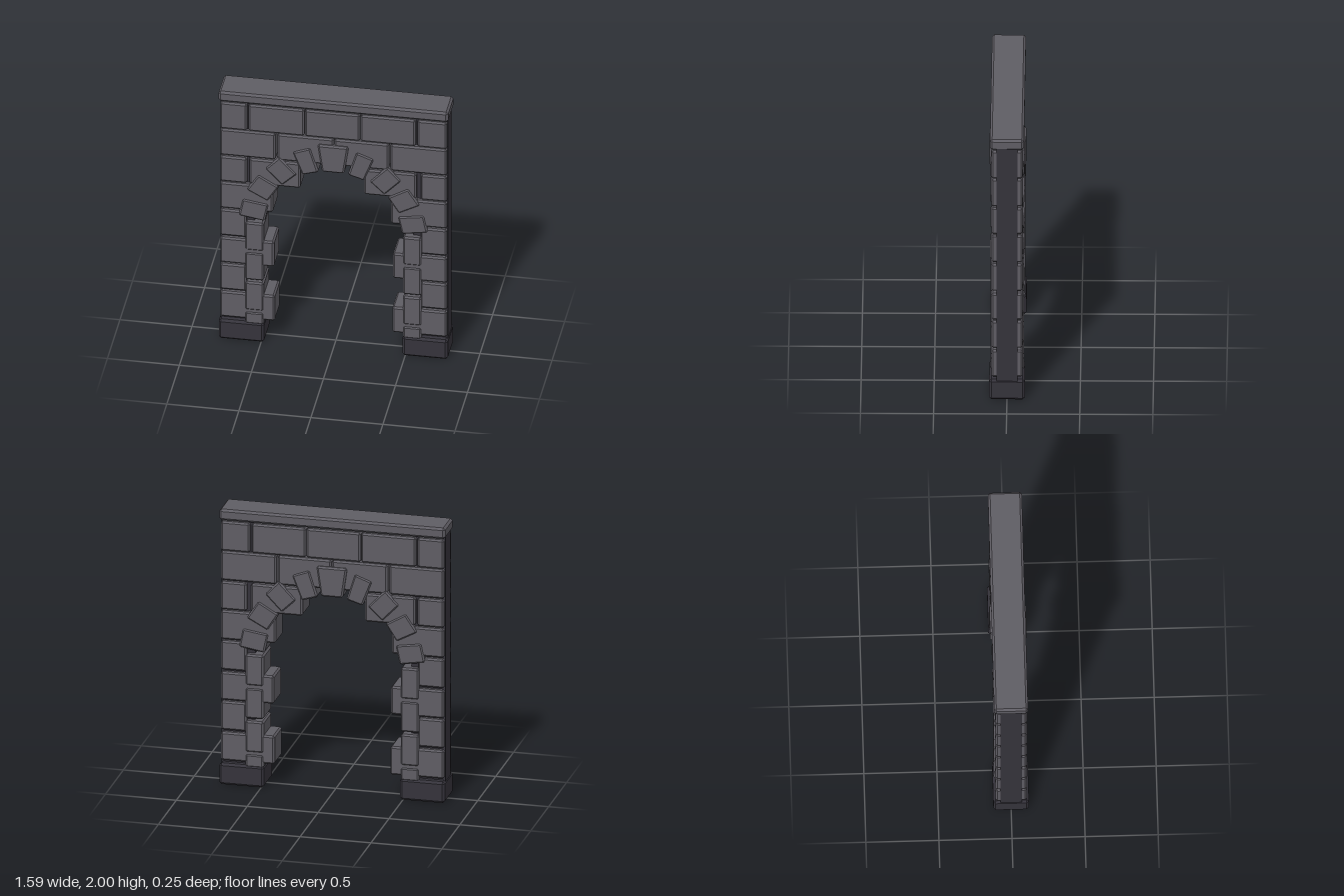
import * as THREE from 'three';
import { ConvexGeometry } from 'three/addons/geometries/ConvexGeometry.js';

const stone = new THREE.MeshStandardMaterial({ color: 0x5f5d64 });
stone.name = 'grey stone';
const dark = new THREE.MeshStandardMaterial({ color: 0x35333b });
dark.name = 'dark stone';

// Chamfered prism: four front corners, half depth d, chamfer c
function block(corners, d, c) {
  const pts = [];
  const p = corners.map(([x, y]) => new THREE.Vector2(x, y));
  p.forEach((q, i) => {
    const u = p[(i + 1) % 4].clone().sub(q).setLength(c);
    const v = p[(i + 3) % 4].clone().sub(q).setLength(c);
    for (const s of [-1, 1]) {
      pts.push(new THREE.Vector3(q.x + u.x + v.x, q.y + u.y + v.y, s * d));
      pts.push(new THREE.Vector3(q.x + u.x, q.y + u.y, s * (d - c)));
      pts.push(new THREE.Vector3(q.x + v.x, q.y + v.y, s * (d - c)));
    }
  });
  return new ConvexGeometry(pts);
}

const rect = (x0, x1, y0, y1) => [[x0, y0], [x1, y0], [x1, y1], [x0, y1]];

export function createModel() {
  const model = new THREE.Group();
  model.name = 'stoneArch';

  function add(name, corners, d, c = 0.012, material = stone) {
    const mesh = new THREE.Mesh(block(corners, d, c), material);
    mesh.name = name;
    model.add(mesh);
  }

  // Wall courses: bottom, top, then the [start, end] of each brick
  const E = 0.787;
  const courses = [
    [1.697, 1.91, [[-E, -0.6], [-0.59, -0.203], [-0.199, 0.184], [0.188, 0.57], [0.583, E]]],
    [1.483, 1.694, [[-E, -0.402], [-0.39, 0.003], [0.006, 0.385], [0.396, E]]],
    [1.27, 1.473, [[-E, -0.6], [-0.585, -0.23], [0.21, 0.575], [0.605, E]]],
    [1.053, 1.262, [[-E, -0.42], [0.4, E]]],
    [0.832, 1.042, [[-E, -0.605], [0.605, E]]],
    [0.612, 0.815, [[-E, -0.412], [0.412, E]]],
    [0.395, 0.602, [[-E, -0.605], [0.605, E]]],
    [0.173, 0.378, [[-E, -0.408], [0.408, E]]],
  ];
  for (const [y0, y1, bricks] of courses)
    for (const [x0, x1] of bricks) add('wallBrick', rect(x0, x1, y0, y1), 0.107);

  // Left-hand arch stones, mirrored for the other side
  const archStones = [
    [[0.16, 1.612], [0.1, 1.42], [0.215, 1.385], [0.285, 1.565]],
    [[0.375, 1.515], [0.25, 1.385], [0.355, 1.285], [0.475, 1.41]],
    [[0.52, 1.355], [0.375, 1.27], [0.455, 1.145], [0.605, 1.225]],
    [[0.63, 1.148], [0.447, 1.12], [0.477, 0.98], [0.658, 1.01]],
  ];

  for (const s of [-1, 1]) {
    const side = s > 0 ? 'left' : 'right';
    for (const q of archStones)
      add(side + 'ArchStone', q.map(([x, y]) => [s * x, y]), 0.116);

    // Jamb stones lining the opening
    for (const [y0, y1] of [[0.735, 0.96], [0.495, 0.717], [0.25, 0.477], [0.14, 0.235]])
      add(side + 'JambStone', rect(s * 0.483, s * 0.612, y0, y1), 0.115);

    // Plinth and mortar core of the pillar
    add(side + 'Plinth', rect(s * 0.48, s * 0.795, 0, 0.155), 0.122, 0.016, dark);
    const core = new THREE.Mesh(new THREE.BoxGeometry(0.24, 1.8, 0.146), dark);
    core.name = side + 'PillarCore';
    core.position.set(s * 0.67, 1.04, 0);
    model.add(core);
  }

  add('keystone', [[-0.077, 1.432], [0.077, 1.432], [0.108, 1.648], [-0.108, 1.648]], 0.125);
  add('capSlab', rect(-0.797, 0.797, 1.92, 2), 0.116, 0.015);

  return model;
}
